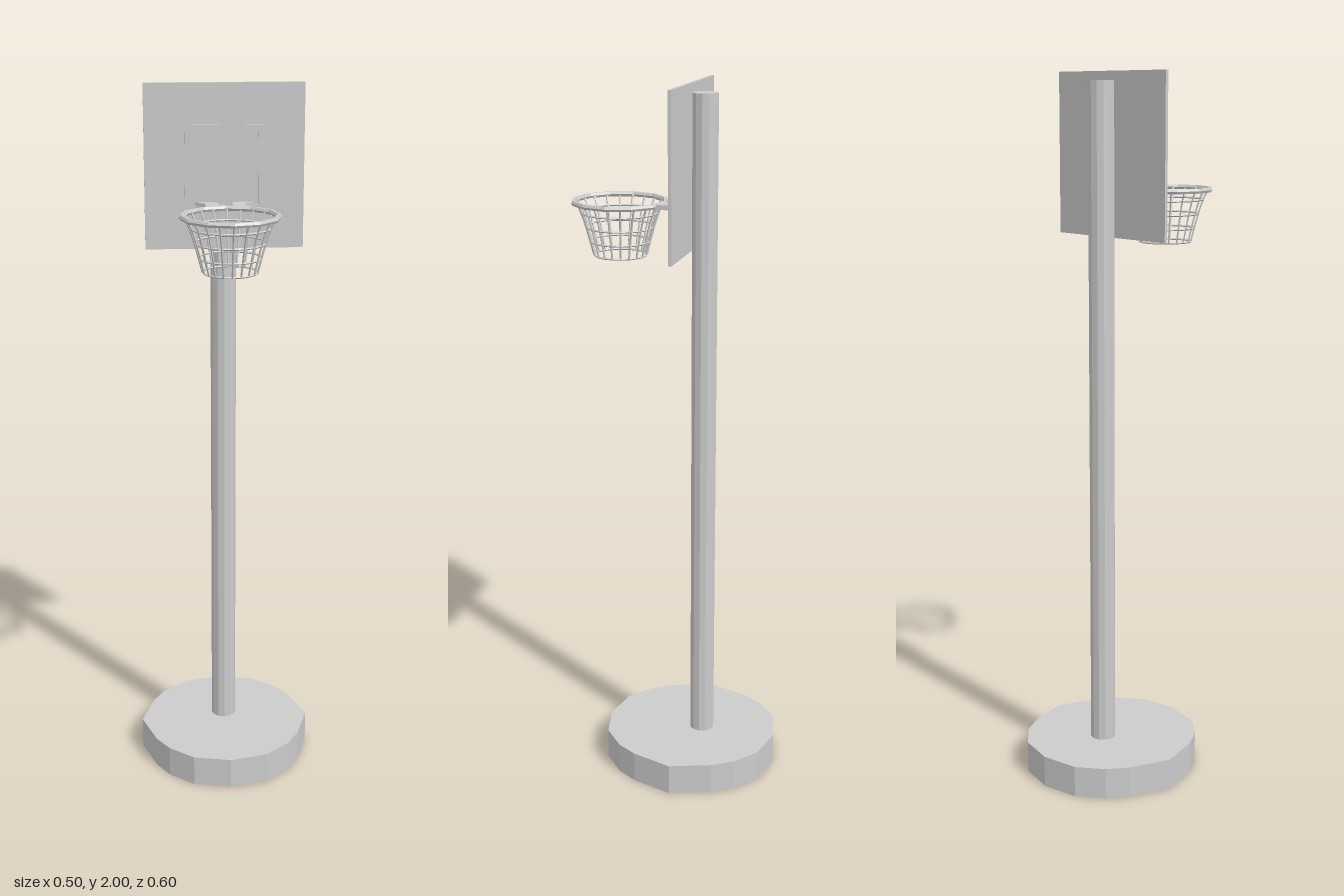
import * as THREE from 'three';

const material = new THREE.MeshStandardMaterial({ color: 0xcccccc, flatShading: true });
const HOOP_Z = 0.162;

function add(parent, name, geometry, x = 0, y = 0, z = 0) {
  const mesh = new THREE.Mesh(geometry, material);
  mesh.name = name;
  mesh.position.set(x, y, z);
  parent.add(mesh);
  return mesh;
}

// Flat outline in (x, z), raised upward by height
function slab(points, height) {
  const shape = new THREE.Shape(points.map(([x, z]) => new THREE.Vector2(x, -z)));
  return new THREE.ExtrudeGeometry(shape, { depth: height, bevelEnabled: false }).rotateX(-Math.PI / 2);
}

// Horizontal ring
function ring(radius, tube, radial, segments) {
  return new THREE.TorusGeometry(radius, tube, radial, segments).rotateX(Math.PI / 2);
}

function createNet() {
  const net = new THREE.Group();
  net.name = 'net';
  const profile = [[0.122, 1.68], [0.107, 1.65], [0.094, 1.61], [0.083, 1.57], [0.073, 1.532]];

  // Horizontal cords
  profile.slice(1).forEach(([r, y]) => add(net, 'netRing', ring(r, 0.0028, 4, 20), 0, y, 0));

  // Hanging cords
  const count = 20;
  for (let i = 0; i < count; i++) {
    const a = (i / count) * Math.PI * 2;
    const path = new THREE.CatmullRomCurve3(
      profile.map(([r, y]) => new THREE.Vector3(r * Math.cos(a), y, r * Math.sin(a))));
    add(net, 'netCord', new THREE.TubeGeometry(path, 6, 0.0028, 4));
  }
  net.position.z = HOOP_Z;
  return net;
}

export function createModel() {
  const model = new THREE.Group();
  model.name = 'basketballHoop';

  // Sixteen-sided base
  const quarter = [[0.252, 0], [0.213, 0.117], [0.176, 0.175], [0.107, 0.232], [0, 0.255]];
  const half = [...quarter, ...quarter.slice(0, 4).reverse().map(([x, z]) => [-x, z])];
  const outline = [...half, ...half.slice(1, -1).reverse().map(([x, z]) => [x, -z])];
  add(model, 'base', slab(outline, 0.09), 0, 0, -0.045);

  // Pole
  add(model, 'pole', new THREE.CylinderGeometry(0.036, 0.036, 1.975, 12), 0, 0.9875, -0.078);

  // Backboard with raised target frame
  add(model, 'backboard', new THREE.BoxGeometry(0.434, 0.445, 0.009), 0, 1.7775, -0.0405);
  const target = new THREE.Shape([[-0.108, 1.66], [0.108, 1.66], [0.108, 1.89], [-0.108, 1.89]]
    .map(p => new THREE.Vector2(...p)));
  target.holes.push(new THREE.Path([[-0.092, 1.676], [-0.092, 1.874], [0.092, 1.874], [0.092, 1.676]]
    .map(p => new THREE.Vector2(...p))));
  add(model, 'targetFrame',
    new THREE.ExtrudeGeometry(target, { depth: 0.006, bevelEnabled: false }), 0, 0, -0.036);

  // Splayed bracket arms
  for (const s of [-1, 1]) {
    const arm = [[0.029, -0.034], [0.018, -0.017], [0.018, 0.034],
      [0.055, 0.046], [0.055, -0.013], [0.082, -0.034]].map(([x, z]) => [s * x, z]);
    add(model, s > 0 ? 'leftBracketArm' : 'rightBracketArm', slab(arm, 0.013), 0, 1.67, 0);
  }

  // Rim and net
  add(model, 'rim', ring(0.128, 0.0075, 6, 12), 0, 1.678, HOOP_Z);
  model.add(createNet());
  return model;
}
